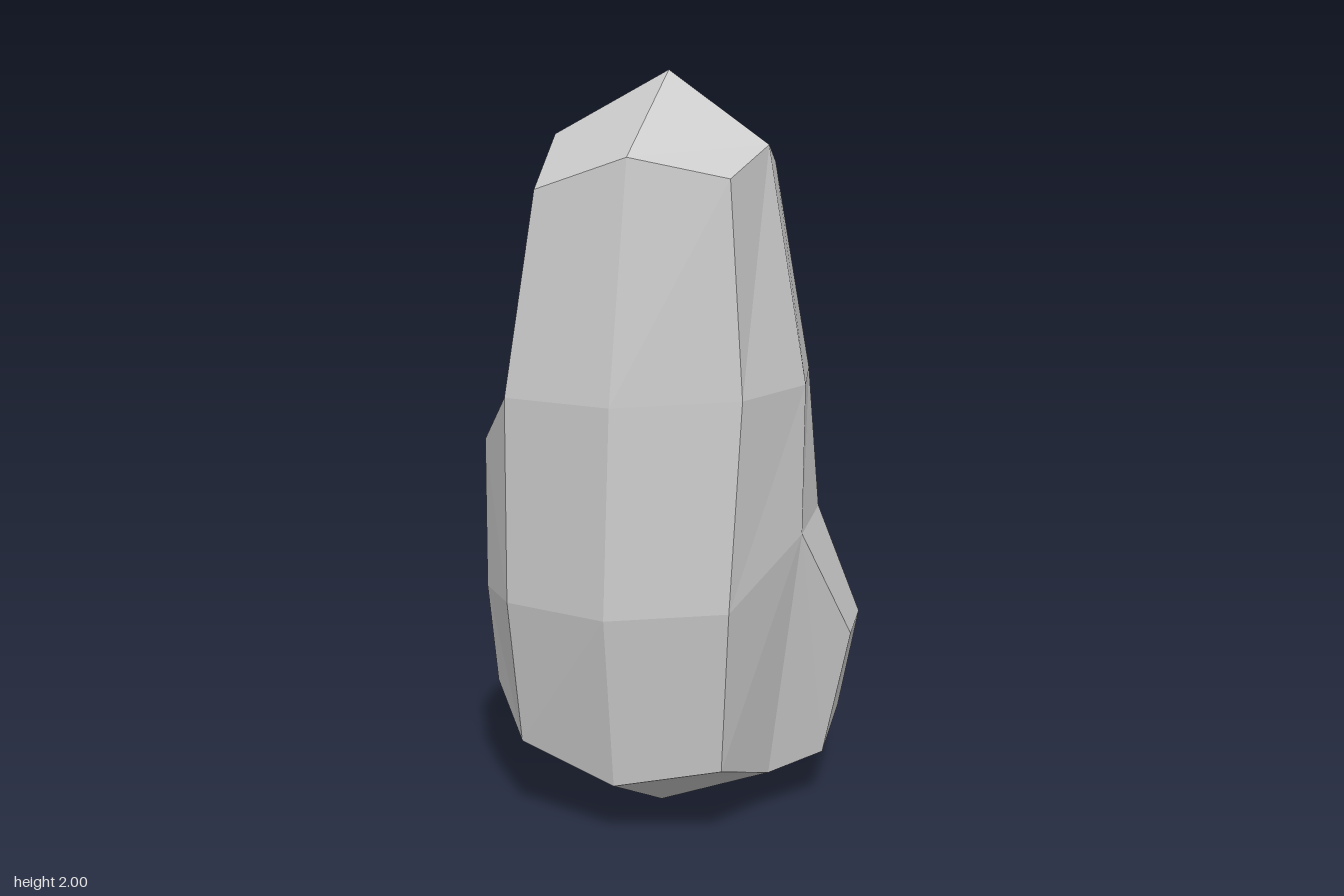
import * as THREE from 'three';

// Eight points per ring, counter-clockwise from above, starting at the front corner on -x
const rings = [
  [[-0.29, 0.21, 0.30], [0.01, 0.145, 0.365], [0.285, 0.20, 0.30], [0.32, 0.115, 0.03],
    [0.32, 0.22, -0.26], [0.02, 0.185, -0.32], [-0.31, 0.23, -0.29], [-0.32, 0.15, -0.02]],
  [[-0.31, 0.60, 0.34], [0.01, 0.60, 0.425], [0.32, 0.63, 0.345], [0.41, 0.785, 0.035],
    [0.34, 0.795, -0.33], [0.01, 0.78, -0.40], [-0.35, 0.58, -0.34], [-0.41, 0.60, 0]],
  [[-0.32, 1.145, 0.32], [0.01, 1.14, 0.385], [0.34, 1.165, 0.31], [0.41, 1.18, 0.02],
    [0.31, 1.19, -0.32], [0.01, 1.18, -0.405], [-0.35, 1.13, -0.34], [-0.40, 1.17, 0]],
  [[-0.27, 1.685, 0.235], [0.01, 1.765, 0.27], [0.29, 1.71, 0.27], [0.30, 1.80, 0.01],
    [0.26, 1.76, -0.16], [0, 1.865, -0.195], [-0.31, 1.79, -0.20], [-0.305, 1.835, 0.035]],
];
const APEX = 32, BASE = 33;

// Pushes a patch of quads out to new points and walls in its open border
function extrude(points, quads, moved) {
  const target = {};
  for (const [index, point] of Object.entries(moved)) target[index] = points.push(point) - 1;
  const inPatch = q => q.every(i => i in target);
  const patch = quads.filter(inPatch);
  const edges = patch.flatMap(q => q.map((a, k) => [a, q[(k + 1) % 4]]));
  const border = edges.filter(([a, b]) => !edges.some(([c, d]) => c === b && d === a));
  return [
    ...quads.filter(q => !inPatch(q)),
    ...patch.map(q => q.map(i => target[i])),
    ...border.map(([a, b]) => [a, b, target[b], target[a]]),
  ];
}

export function createModel() {
  const points = [...rings.flat(), [0.01, 2, -0.01], [0.01, 0, 0.04]];
  let quads = [];

  // Sides
  for (let r = 0; r < 3; r++) {
    for (let i = 0; i < 8; i++) {
      const a = r * 8 + i, b = r * 8 + (i + 1) % 8;
      quads.push([a, b, b + 8, a + 8]);
    }
  }
  // Peak and underside, one quad for each corner
  for (let c = 0; c < 8; c += 2) {
    const before = (c + 7) % 8, after = c + 1;
    quads.push([24 + before, 24 + c, 24 + after, APEX]);
    quads.push([after, c, before, BASE]);
  }

  // Shelf along the -x side
  quads = extrude(points, quads, {
    6: [-0.43, 0.33, -0.15], 7: [-0.45, 0.295, 0], 0: [-0.43, 0.33, 0.17],
    14: [-0.47, 0.59, -0.20], 15: [-0.5, 0.575, 0], 8: [-0.455, 0.60, 0.18],
    22: [-0.47, 1.0, -0.20], 23: [-0.5, 1.03, 0], 16: [-0.455, 1.01, 0.18],
  });
  // Foot at the lower back corner on +x
  quads = extrude(points, quads, {
    11: [0.495, 0.48, -0.145], 12: [0.45, 0.485, -0.38], 13: [0.245, 0.49, -0.427],
    3: [0.42, 0.135, -0.14], 4: [0.41, 0.22, -0.32], 5: [0.22, 0.205, -0.345],
    [BASE]: [0.24, 0.085, -0.14],
  });

  const corners = quads.flatMap(([a, b, c, d]) => [a, b, c, a, c, d]);
  const geometry = new THREE.BufferGeometry();
  geometry.setAttribute('position',
    new THREE.Float32BufferAttribute(corners.flatMap(i => points[i]), 3));
  geometry.computeVertexNormals();

  const rock = new THREE.Mesh(geometry,
    new THREE.MeshStandardMaterial({ color: 0xcccccc, flatShading: true }));
  rock.name = 'rock';
  const group = new THREE.Group();
  group.name = 'standingRock';
  group.add(rock);
  return group;
}
